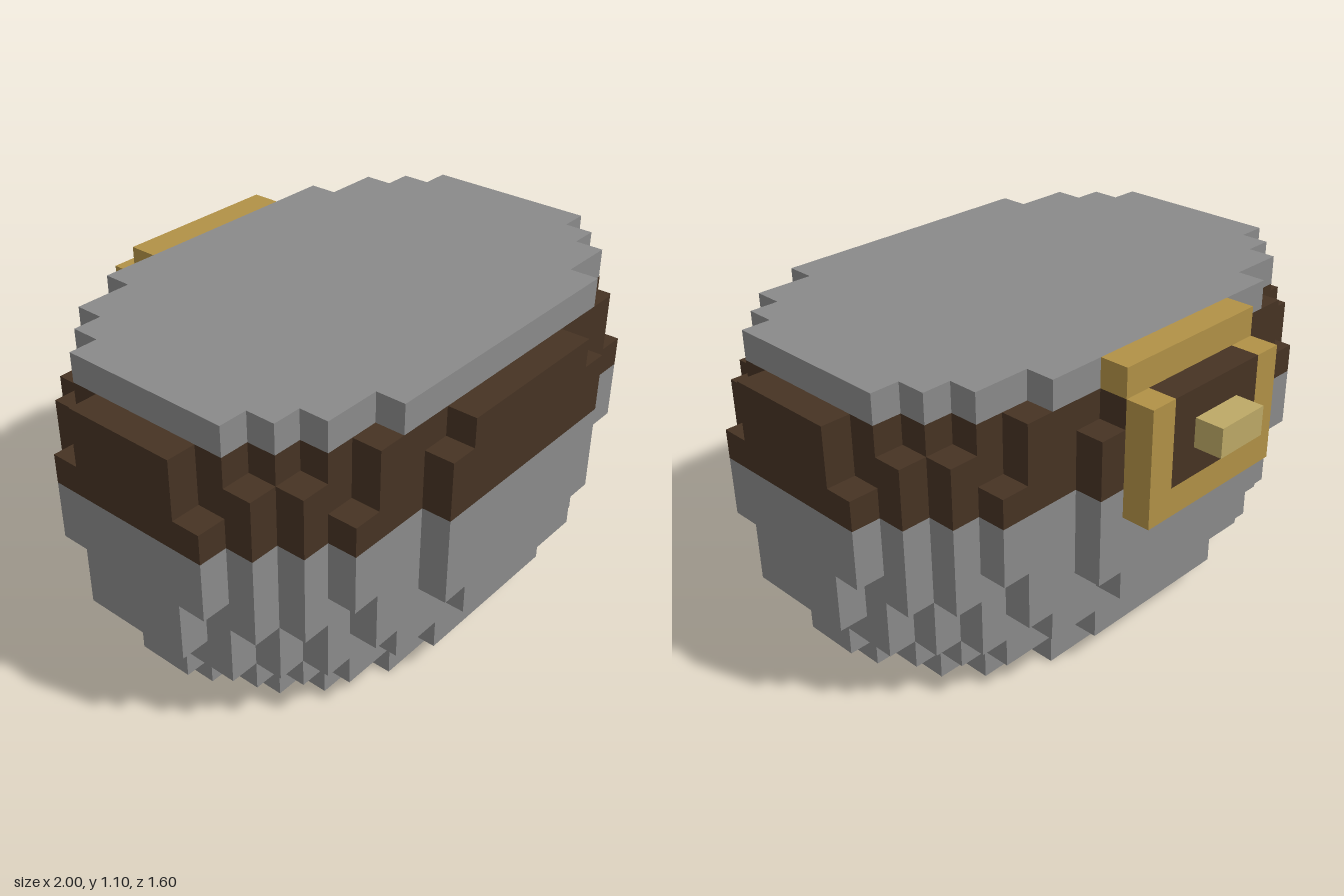
import * as THREE from 'three';
import { mergeGeometries } from 'three/addons/utils/BufferGeometryUtils.js';

const U = 0.1; // size of one block

// Half widths in blocks, from the outermost z row to the middle row
const bottom = [0, 0, 4, 6, 7, 7, 8];
const lower = [0, 3, 6, 7, 8, 8, 9];
const rim = [0, 5, 7, 8, 9, 9, 9];
const shoulder = [3, 6, 7, 8, 9, 10, 10];
const bulge = [4, 6, 8, 9, 9, 10, 10];
const middle = [4, 7, 8, 9, 10, 10, 10];

// One stepped slab, mirrored from a quarter outline
function slab(widths, y0, y1) {
  const q = [];
  widths.forEach((w, r) => {
    if (!w) return;
    q.push([w, 7 - r]);
    if (r < 6 && widths[r + 1] !== w) q.push([w, 6 - r]);
  });
  const flip = (list, sx, sy) => list.map(([x, y]) => [x * sx, y * sy]);
  const back = [...q].reverse();
  const loop = [...q, ...flip(back, 1, -1), ...flip(q, -1, -1), ...flip(back, -1, 1)];
  const shape = new THREE.Shape(loop.map(([x, y]) => new THREE.Vector2(x * U, y * U)));
  const g = new THREE.ExtrudeGeometry(shape, { depth: (y1 - y0) * U, bevelEnabled: false });
  return g.rotateX(-Math.PI / 2).translate(0, y0 * U, U);
}

// Box given by its limits in blocks
function block(x0, x1, y0, y1, z0, z1) {
  return new THREE.BoxGeometry((x1 - x0) * U, (y1 - y0) * U, (z1 - z0) * U)
    .translate((x0 + x1) * U / 2, (y0 + y1) * U / 2, (z0 + z1) * U / 2);
}

export function createModel() {
  const material = (name, color) => {
    const m = new THREE.MeshStandardMaterial({ color });
    m.name = name;
    return m;
  };
  const grey = material('grey cloth', 0x8a8a8a);
  const brown = material('brown leather', 0x463323);
  const gold = material('gold metal', 0xb19146);
  const paleGold = material('pale gold', 0xbda966);

  const model = new THREE.Group();
  model.name = 'beltedBody';
  const add = (name, mat, ...parts) => {
    const mesh = new THREE.Mesh(mergeGeometries(parts), mat);
    mesh.name = name;
    model.add(mesh);
  };

  // Rounded body below the belt
  add('lowerBody', grey,
    slab(bottom, 0, 1), slab(lower, 1, 2), slab(rim, 2, 3),
    slab(shoulder, 3, 4), slab(bulge, 4, 5), slab(middle, 5, 7));

  // Belt following the body steps
  add('belt', brown, slab(middle, 7, 8), slab(bulge, 8, 9), slab(shoulder, 9, 10));

  // Flat top of the body
  add('upperBody', grey, slab(rim, 10, 11));

  // Buckle on the back: frame, leather filling and prong
  add('buckleFrame', gold,
    block(-3, -2, 6, 10, -7, -6), block(2, 3, 6, 10, -7, -6),
    block(-2, 2, 6, 7, -7, -6), block(-3, 3, 10, 11, -6, -5));
  add('buckleLeather', brown, block(-2, 2, 7, 10, -7, -6));
  add('bucklePin', paleGold, block(-1, 1, 8, 9, -8, -7));

  return model;
}
